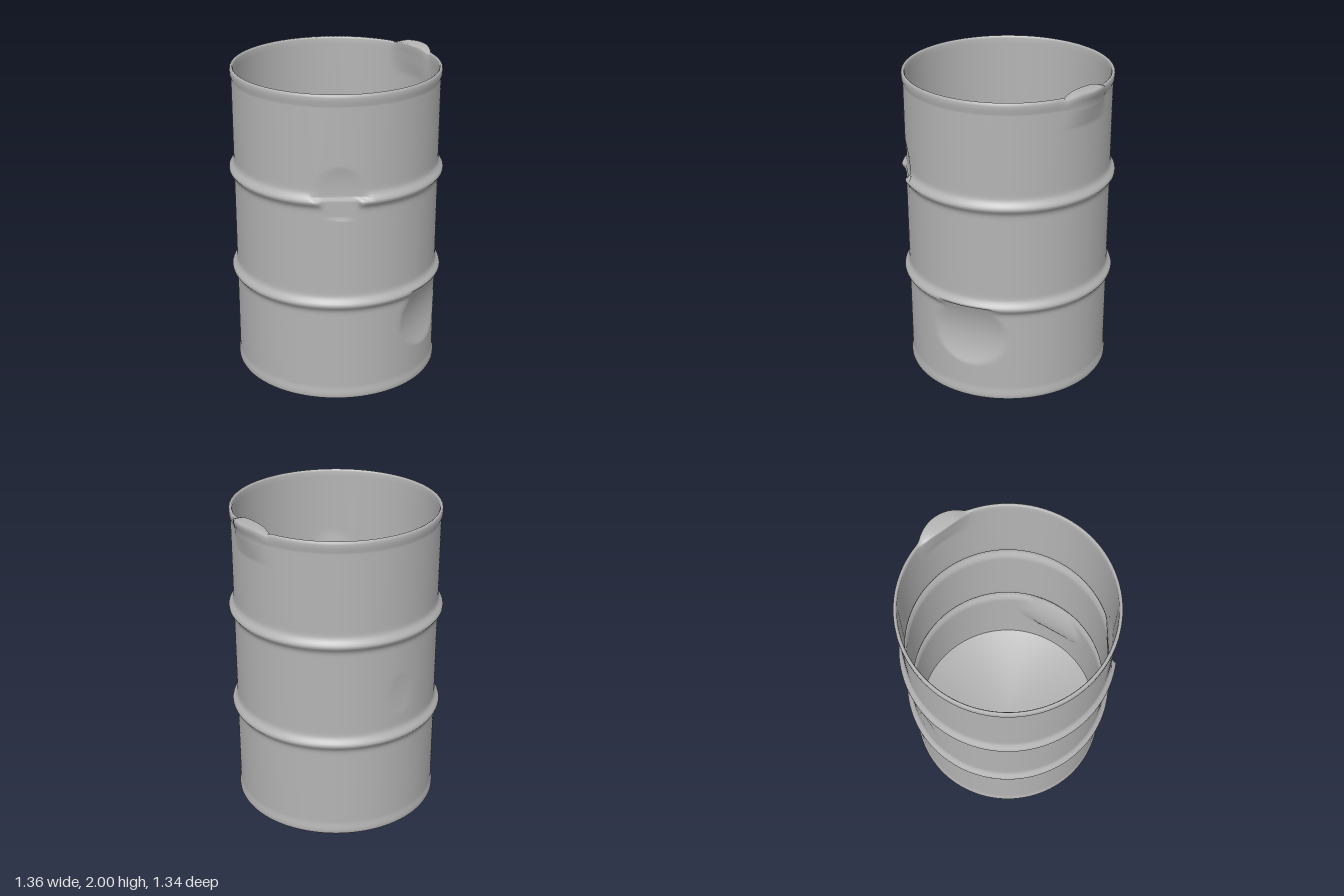
import * as THREE from 'three';
import { mergeVertices } from 'three/addons/utils/BufferGeometryUtils.js';

const R = 0.641, WALL = 0.014, SEGMENTS = 144, OFFSET_X = -0.013;
const RIBS = [0.66, 1.33];
const rad = THREE.MathUtils.degToRad;

// Outer radius of the wall at height y, with its two pressed ribs
function wallRadius(y) {
  let r = R;
  for (const rib of RIBS) r += 0.031 * Math.exp(-(((y - rib) / 0.032) ** 2));
  return r;
}

// Flat dents: facing angle, half angle, middle height, half height, lowest and highest y
// A round dent deepens towards its middle; a straight one is a plain flat cut.
const dents = [
  { angle: 22, half: 22, y: 0.445, h: 0.21, min: 0.2, max: 0.656, round: true },
  { angle: -36, half: 12.5, y: 1.39, h: 0.155, min: 1.345, max: 1.55, round: true },
  { angle: -36, half: 8, y: 1.29, h: 0.08, min: 1.22, max: 1.35, round: false },
  { angle: 180, half: 8, y: 0.94, h: 0.14, min: 0.8, max: 1.08, round: true },
];

function pressDents(p, inner) {
  for (const d of dents) {
    if (p.y < d.min || p.y > d.max) continue;
    const a = rad(d.angle), half = rad(d.half);
    const turn = Math.atan2(p.x, p.z) - a;
    const away = Math.abs(Math.atan2(Math.sin(turn), Math.cos(turn)));
    if (away > half * 1.15) continue;
    const deep = R * Math.cos(half);
    const fade = d.round ? ((p.y - d.y) / d.h) ** 2 : 0;
    const plane = deep + (R - deep) * fade - (inner ? WALL : 0);
    const excess = p.x * Math.sin(a) + p.z * Math.cos(a) - plane;
    if (excess > 0) {
      p.x -= Math.sin(a) * excess;
      p.z -= Math.cos(a) * excess;
    }
  }
}

// Buckled spot on the rim: outside flares out, inside bulges in, top lifts
function buckleRim(p, inner) {
  const across = 1 - (p.z / 0.18) ** 2;
  if (p.x < 0 || p.y < 1.78 || across <= 0) return;
  const w = ((p.y - 1.78) / 0.2) * across;
  p.x += (inner ? -0.038 : 0.048) * w;
  if (p.y > 1.9) p.y += 0.02 * Math.min(1, across * 1.4) - 0.012 * (1 - across);
}

function buildShell() {
  const points = [];
  const add = (r, y) => points.push(new THREE.Vector2(r, y));
  // rounded bottom edge
  add(0.632, 0);
  add(0.643, 0.004);
  add(0.648, 0.015);
  add(0.648, 0.035);
  add(0.644, 0.055);
  // outer wall
  for (let i = 0; i <= 147; i++) {
    const y = 0.075 + i * 0.0125;
    add(wallRadius(y), y);
  }
  // rolled rim
  add(0.648, 1.935);
  add(0.649, 1.96);
  add(0.646, 1.974);
  add(0.639, 1.98);
  const outerCount = points.length;
  add(0.632, 1.976);
  add(0.627, 1.965);
  // inner wall
  for (let i = 0; i <= 76; i++) {
    const y = 1.93 - i * 0.025;
    add(wallRadius(y) - WALL, y);
  }
  add(R - WALL, 0.02);

  const geometry = new THREE.LatheGeometry(points, SEGMENTS);
  const pos = geometry.attributes.position;
  const p = new THREE.Vector3();
  for (let i = 0; i < pos.count; i++) {
    const inner = i % points.length >= outerCount;
    p.fromBufferAttribute(pos, i);
    pressDents(p, inner);
    buckleRim(p, inner);
    pos.setXYZ(i, p.x, p.y, p.z);
  }
  // weld the seam so the shading stays smooth all round
  geometry.deleteAttribute('uv');
  geometry.deleteAttribute('normal');
  const welded = mergeVertices(geometry, 1e-5);
  welded.computeVertexNormals();
  return welded;
}

// Inside floor, with normals leaning inwards so it blends into the wall
function buildFloor() {
  const geometry = new THREE.CircleGeometry(R - WALL, SEGMENTS).rotateX(-Math.PI / 2);
  const { position, normal } = geometry.attributes;
  const n = new THREE.Vector3();
  for (let i = 0; i < position.count; i++) {
    n.set(-position.getX(i), R, -position.getZ(i)).normalize();
    normal.setXYZ(i, n.x, n.y, n.z);
  }
  return geometry;
}

export function createModel() {
  const steel = new THREE.MeshStandardMaterial({ color: 0xb4b4b4 });
  steel.name = 'grey steel';

  const barrel = new THREE.Group();
  barrel.name = 'barrel';
  const addPart = (name, geometry, y = 0) => {
    const mesh = new THREE.Mesh(geometry, steel);
    mesh.name = name;
    mesh.position.set(OFFSET_X, y, 0);
    barrel.add(mesh);
  };

  addPart('shell', buildShell());
  addPart('insideFloor', buildFloor(), 0.02);
  addPart('base', new THREE.CircleGeometry(0.632, SEGMENTS).rotateX(Math.PI / 2));
  return barrel;
}
